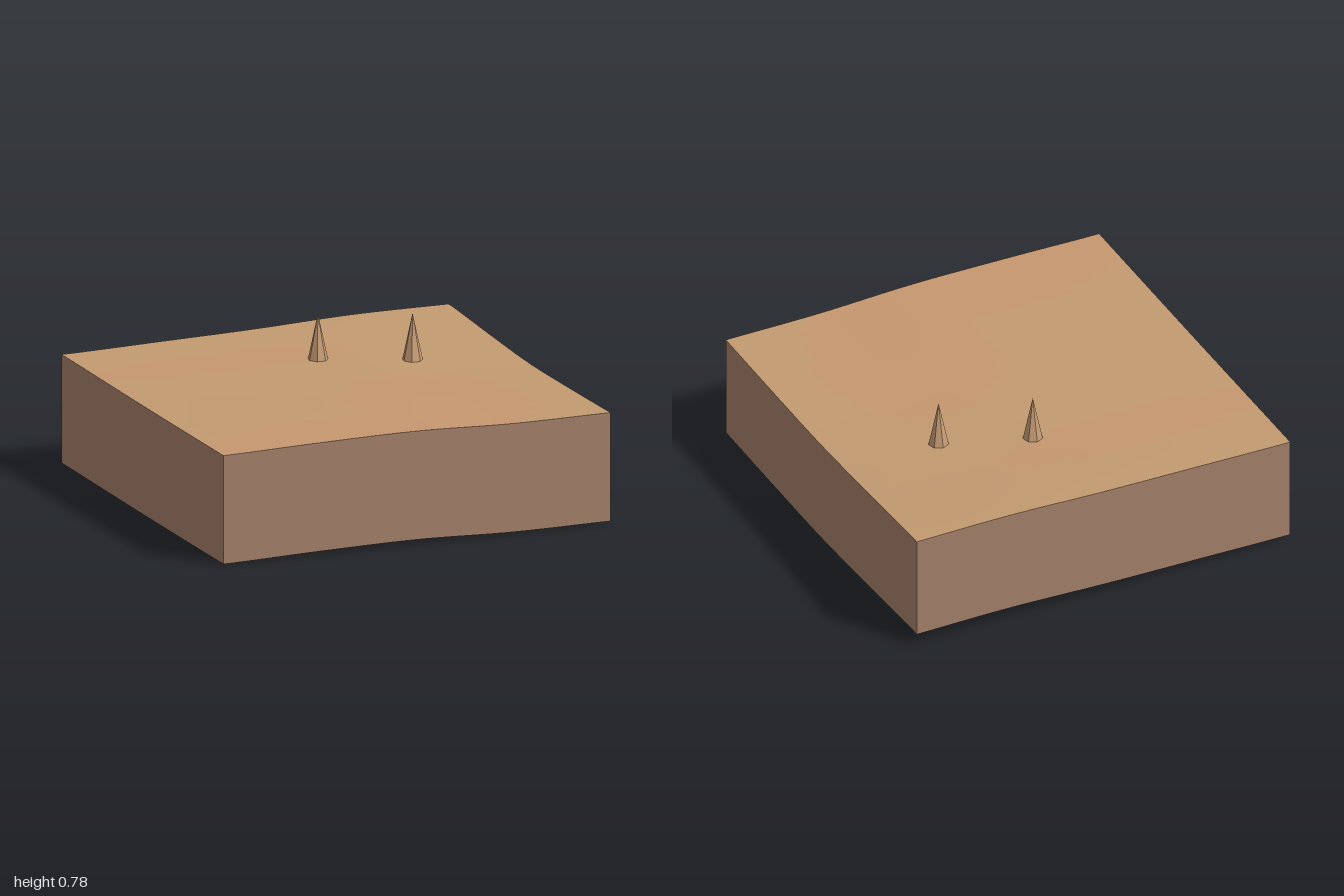
import * as THREE from 'three';

// Ground heights on a coarse grid: rows from back to front, columns along x
const HEIGHTS = [
  [0.55, 0.562, 0.575, 0.595, 0.597],
  [0.545, 0.552, 0.56, 0.565, 0.57],
  [0.54, 0.549, 0.555, 0.548, 0.546],
  [0.537, 0.55, 0.556, 0.545, 0.543],
  [0.535, 0.548, 0.555, 0.542, 0.545],
];
const DEPTH = 0.535;
const CELLS = 40;

// Smooth curve through five evenly spaced values, t from -1 to 1
function smooth(values, t) {
  const s = THREE.MathUtils.clamp((t + 1) * 2, 0, 4);
  const i = Math.min(3, Math.floor(s));
  const f = s - i;
  const at = (k) => values[THREE.MathUtils.clamp(k, 0, 4)];
  const [a, b, c, d] = [at(i - 1), at(i), at(i + 1), at(i + 2)];
  return b + 0.5 * f * (c - a + f * (2 * a - 5 * b + 4 * c - d + f * (3 * (b - c) + d - a)));
}

const groundHeight = (x, z) => smooth(HEIGHTS.map((row) => smooth(row, x)), z);

// Warmer patches of soil
function isWarm(x, z) {
  const inside = (cx, cz, rx, rz) => ((x - cx) / rx) ** 2 + ((z - cz) / rz) ** 2 < 1;
  return inside(0.32, 0.5, 0.42, 0.55) || inside(-0.3, 1, 0.8, 0.42) || inside(-0.4, -0.55, 0.7, 0.15);
}

function createGround(sand, warm) {
  const geometry = new THREE.PlaneGeometry(2, 2, CELLS, CELLS).rotateX(-Math.PI / 2);
  const p = geometry.attributes.position;
  for (let i = 0; i < p.count; i++) p.setY(i, groundHeight(p.getX(i), p.getZ(i)));
  geometry.computeVertexNormals();

  // Sort the cells by soil colour
  const index = geometry.index.array;
  const cells = [[], []];
  for (let i = 0; i < index.length; i += 6) {
    const corners = Array.from(index.slice(i, i + 6));
    const x = (p.getX(corners[0]) + p.getX(corners[2])) / 2;
    const z = (p.getZ(corners[0]) + p.getZ(corners[1])) / 2;
    cells[isWarm(x, z) ? 1 : 0].push(...corners);
  }
  geometry.setIndex([...cells[0], ...cells[1]]);
  geometry.addGroup(0, cells[0].length, 0);
  geometry.addGroup(cells[0].length, cells[1].length, 1);
  const mesh = new THREE.Mesh(geometry, [sand, warm]);
  mesh.name = 'ground';
  return mesh;
}

// One side wall whose upper and lower edges both follow the ground
function createWall(name, angle, material) {
  const geometry = new THREE.PlaneGeometry(2, 1, CELLS, 1).translate(0, 0, 1).rotateY(angle);
  const p = geometry.attributes.position;
  for (let i = 0; i < p.count; i++) {
    const top = groundHeight(p.getX(i), p.getZ(i));
    p.setY(i, p.getY(i) > 0 ? top : top - DEPTH);
  }
  const mesh = new THREE.Mesh(geometry, material);
  mesh.name = name;
  return mesh;
}

// Seven-sided faceted spike
function createSpike(name, x, z, material) {
  const geometry = new THREE.ConeGeometry(0.051, 0.235, 7).rotateY(Math.PI).toNonIndexed();
  geometry.computeVertexNormals();
  const mesh = new THREE.Mesh(geometry, material);
  mesh.name = name;
  mesh.position.set(x, 0.667, z);
  return mesh;
}

export function createModel() {
  const paint = (name, color) => {
    const material = new THREE.MeshStandardMaterial({ color, side: THREE.DoubleSide });
    material.name = name;
    return material;
  };
  const sand = paint('sand', 0xc29a70);
  const warm = paint('warm sand', 0xc6976f);
  const earth = paint('earth', 0xa5806a);
  const stone = paint('spike tan', 0xc69c74);

  const group = new THREE.Group();
  group.name = 'terrainBlock';
  group.add(createGround(sand, warm));
  ['frontWall', 'leftWall', 'backWall', 'rightWall'].forEach((name, i) => {
    group.add(createWall(name, (i * Math.PI) / 2, earth));
  });
  group.add(createSpike('backSpike', 0.08, -0.415, stone));
  group.add(createSpike('sideSpike', 0.5, -0.25, stone));
  return group;
}
